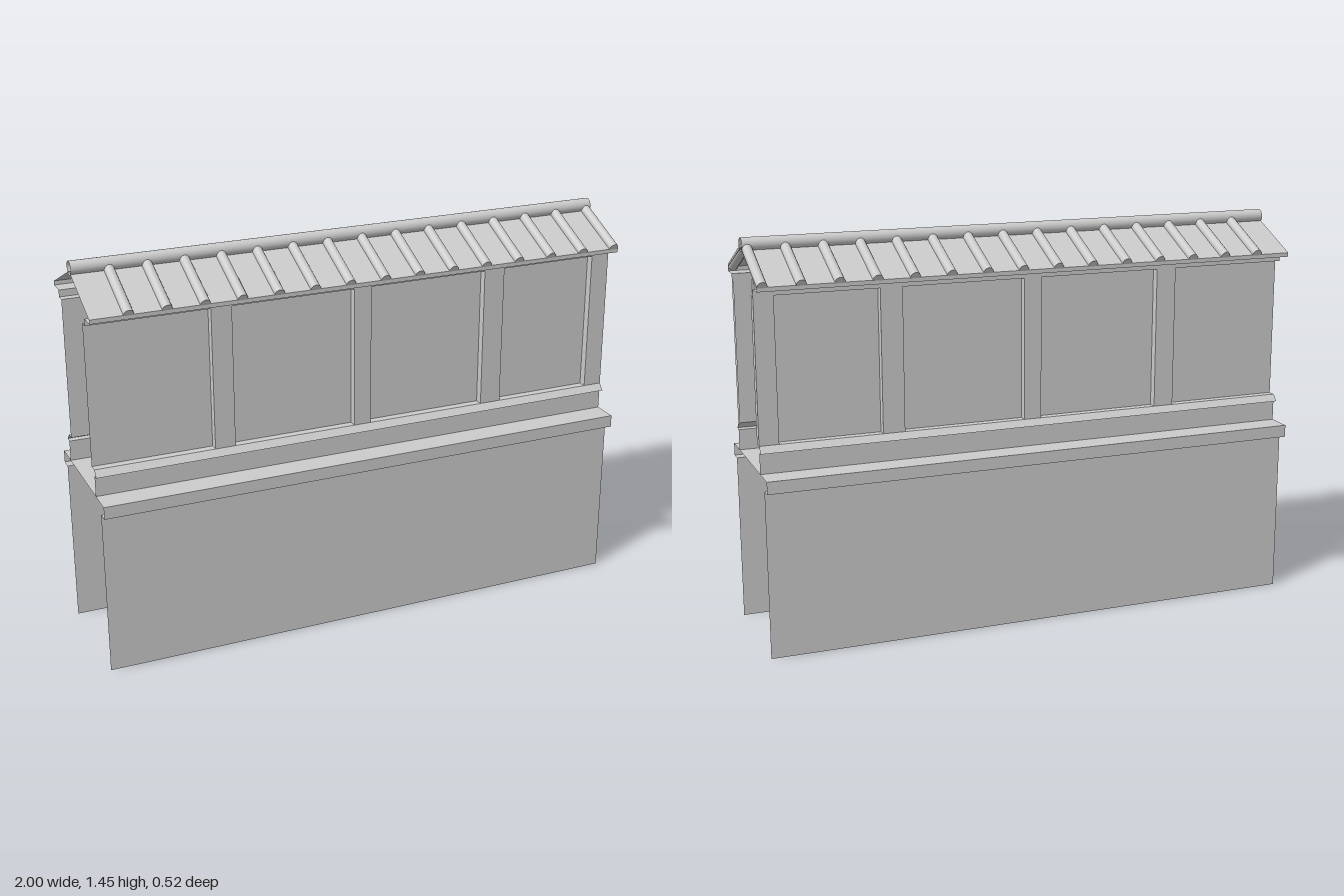
import * as THREE from 'three';

const grey = new THREE.MeshStandardMaterial({ color: 0xcccccc, side: THREE.DoubleSide });

// Heights and depths shared by several parts
const FACE = 0.165, RECESS = 0.135, SILL = 0.755, HEAD = 1.27, EAVE = 1.295;

function add(parent, name, geometry) {
  const mesh = new THREE.Mesh(geometry, grey);
  mesh.name = name;
  parent.add(mesh);
  return mesh;
}

// Sheet sweeping a [z, y] profile (bottom to top) along x; side -1 mirrors it to the back
function sheet(profile, side = 1, x0 = -1, x1 = 1) {
  const [l, r] = side > 0 ? [x0, x1] : [x1, x0];
  const v = [];
  for (let i = 0; i < profile.length - 1; i++) {
    const [za, ya] = profile[i], [zb, yb] = profile[i + 1];
    const a = [l, ya, za * side], b = [r, ya, za * side];
    const c = [r, yb, zb * side], d = [l, yb, zb * side];
    v.push(...a, ...b, ...c, ...a, ...c, ...d);
  }
  const g = new THREE.BufferGeometry();
  g.setAttribute('position', new THREE.Float32BufferAttribute(v, 3));
  g.computeVertexNormals();
  return g;
}

function buildSide(side) {
  const group = new THREE.Group();
  group.name = side > 0 ? 'frontSide' : 'backSide';

  // Lower wall with its projecting ledge
  add(group, 'lowerWall', sheet([[0.22, 0], [0.22, 0.61]], side));
  add(group, 'ledge', sheet([[0.22, 0.61], [0.26, 0.61], [0.26, 0.655]], side));

  // Plinth and sloping sill under the panels
  add(group, 'plinth', sheet([[FACE, 0.655], [FACE, 0.73]], side));
  add(group, 'sill', sheet([[FACE, 0.73], [0.186, 0.732], [FACE, SILL]], side));

  // Recessed panels
  const bays = [[-1, -0.565], [-0.49, -0.035], [0.03, 0.48], [0.56, 0.93]];
  for (const [x0, x1] of bays) {
    add(group, 'panel', sheet([[FACE, SILL], [RECESS, SILL], [RECESS, HEAD], [FACE, HEAD]], side, x0, x1));
  }

  // Posts between the panels, with the returns down to the panel face
  const posts = [[-0.565, -0.49], [-0.035, 0.03], [0.48, 0.56], [0.93, 1]];
  for (const [x0, x1] of posts) {
    add(group, 'post', sheet([[FACE, SILL], [FACE, HEAD]], side, x0, x1));
    for (const [x, turn] of [[x0, -1], [x1, 1]]) {
      const jamb = add(group, 'postReturn', new THREE.PlaneGeometry(FACE - RECESS, HEAD - SILL));
      jamb.rotation.y = turn * Math.PI / 2;
      jamb.position.set(x, (SILL + HEAD) / 2, side * (FACE + RECESS) / 2);
    }
  }

  // Head rail, soffit and roof slope
  add(group, 'headRail', sheet([[FACE, HEAD], [FACE, EAVE]], side));
  add(group, 'roofSlope', sheet([[FACE, EAVE], [0.226, EAVE], [0.226, 1.31], [0, 1.41]], side));

  // Round tile ribs running down the slope
  const low = new THREE.Vector3(0, 1.312, 0.228 * side);
  const high = new THREE.Vector3(0, 1.411, 0.01 * side);
  const dir = high.clone().sub(low);
  const ribGeometry = new THREE.CylinderGeometry(0.018, 0.018, dir.length(), 16);
  for (let i = 0; i < 15; i++) {
    const rib = add(group, 'roofRib', ribGeometry);
    rib.position.copy(low).add(high).multiplyScalar(0.5);
    rib.position.x = -0.868 + i * 0.1321;
    rib.quaternion.setFromUnitVectors(new THREE.Vector3(0, 1, 0), dir.clone().normalize());
  }
  return group;
}

export function createModel() {
  const model = new THREE.Group();
  model.name = 'roofedWall';
  model.add(buildSide(1), buildSide(-1));

  // Flat deck joining the two ledges
  add(model, 'deck', sheet([[0.26, 0.655], [-0.26, 0.655]]));

  // Ridge tube
  const ridge = add(model, 'ridge', new THREE.CylinderGeometry(0.025, 0.025, 2, 20, 1, true));
  ridge.rotation.z = Math.PI / 2;
  ridge.position.y = 1.42;
  return model;
}
